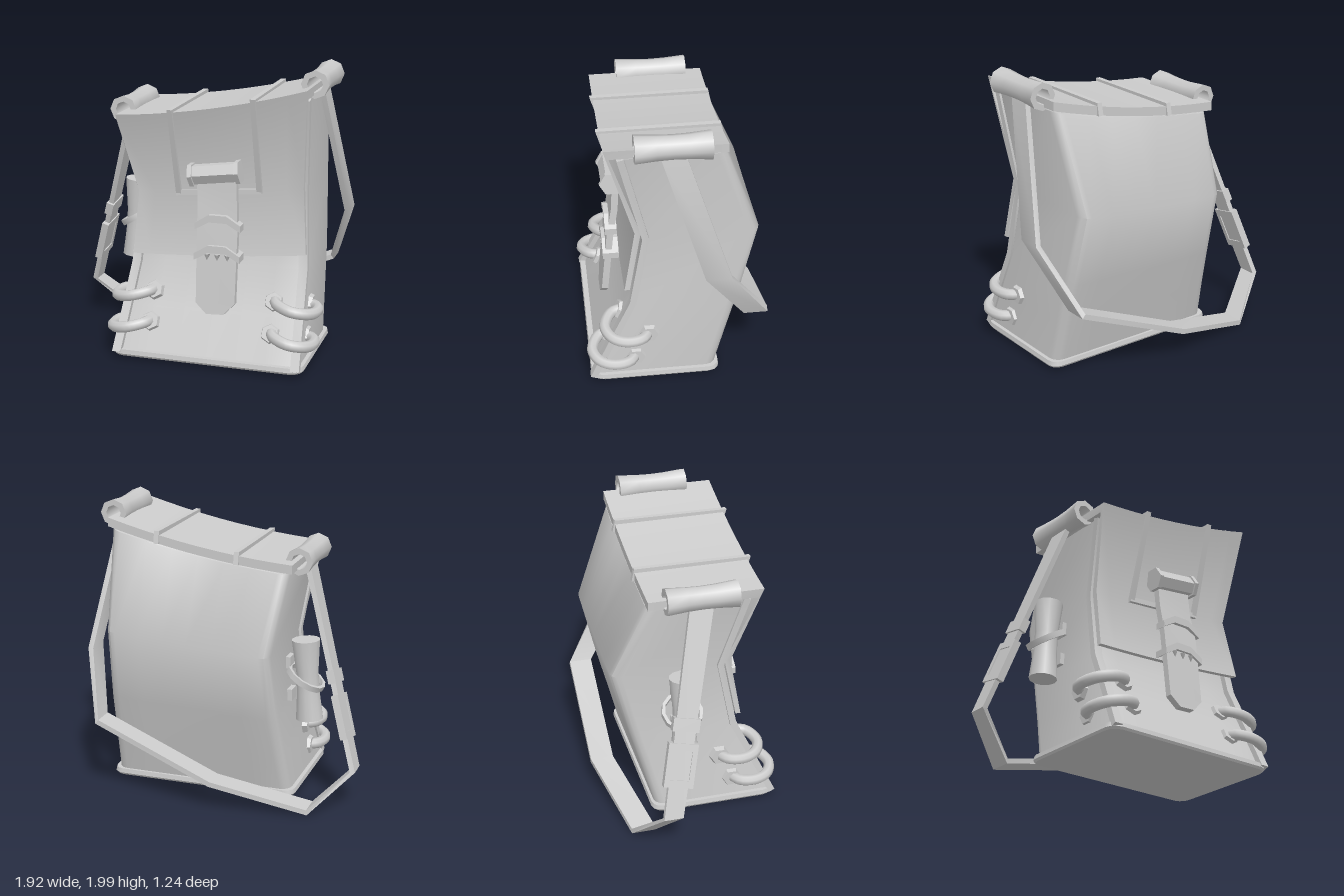
import * as THREE from 'three';
import { toCreasedNormals } from 'three/addons/utils/BufferGeometryUtils.js';

const V = (x, y, z) => new THREE.Vector3(x, y, z);
const grey = new THREE.MeshStandardMaterial({ color: 0xcccccc, side: THREE.DoubleSide });

// Height of the sagging, sloping lid at a given x
const topY = (x) => {
  const t = (x + 0.5) / 1.3;
  return 1.67 + 0.23 * t - 0.15 * t * (1 - t);
};
const slopeY = (y, k, x) => y + k * (topY(x) - 1.75);

// Skin a list of equal-length rings, cap both ends, face outwards
function loft(rings, crease = 0.7) {
  const n = rings[0].length, last = (rings.length - 1) * n, idx = [];
  const pts = rings.flat();
  const quad = (a, b, c, d) => idx.push(a, b, c, a, c, d);
  for (let r = 0; r < rings.length - 1; r++)
    for (let i = 0; i < n; i++) {
      const j = (i + 1) % n;
      quad(r * n + i, r * n + j, (r + 1) * n + j, (r + 1) * n + i);
    }
  for (let i = 0; i < n / 2 - 1; i++) {
    const [a, b, c, d] = [i, i + 1, n - 2 - i, n - 1 - i];
    quad(d, c, b, a);
    quad(last + a, last + b, last + c, last + d);
  }
  let volume = 0;
  for (let i = 0; i < idx.length; i += 3)
    volume += pts[idx[i]].dot(pts[idx[i + 1]].clone().cross(pts[idx[i + 2]]));
  if (volume < 0) idx.reverse();
  const g = new THREE.BufferGeometry().setFromPoints(pts);
  g.setIndex(idx);
  return toCreasedNormals(g, crease);
}

// Flat band along a path; width runs along dir, w may vary per point
function ribbon(pts, dir, w, t) {
  return loft(pts.map((p, i) => {
    const tan = pts[Math.min(i + 1, pts.length - 1)].clone().sub(pts[Math.max(i - 1, 0)]);
    const nrm = tan.cross(dir).normalize().multiplyScalar(t / 2);
    const side = dir.clone().multiplyScalar((w[i] ?? w) / 2);
    return [[1, 1], [1, -1], [-1, -1], [-1, 1]].map(([a, b]) =>
      p.clone().addScaledVector(side, a).addScaledVector(nrm, b));
  }), 0.5);
}

// Body rows: y, slope, front z, back z, left x, right x
const bodyRows = [
  [0.05, 0, 0.57, -0.25, -0.49, 0.785],
  [0.35, 0.1, 0.43, -0.33, -0.46, 0.775],
  [0.64, 0.2, 0.29, -0.41, -0.435, 0.765],
  [1.12, 0.4, 0.2, -0.53, -0.41, 0.735],
  [1.68, 1, 0.355, -0.3, -0.47, 0.775],
];
// Rounded outline of one row; cf and cb are the front and back corner radii
function bodyRing([y, k, zf, zb, xl, xr], grow = 0, cf = 0.012, cb = 0.07) {
  xl -= grow; xr += grow; zf += grow; zb -= grow;
  const ring = [];
  const add = (x, z) => ring.push(V(x, slopeY(y, k, x), z));
  const corner = (x, z, c, start) => {
    for (let i = 0; i <= 3; i++) {
      const a = start - i * Math.PI / 6;
      add(x + c * Math.cos(a), z + c * Math.sin(a));
    }
  };
  const edge = (a, b, z) => {
    for (let i = 1; i < 6; i++) add(a + (b - a) * i / 6, z);
  };
  corner(xr - cf, zf - cf, cf, Math.PI / 2);
  corner(xr - cb, zb + cb, cb, 0);
  edge(xr - cb, xl + cb, zb);
  corner(xl + cb, zb + cb, cb, -Math.PI / 2);
  corner(xl + cf, zf - cf, cf, -Math.PI);
  edge(xl + cf, xr - cf, zf);
  return ring;
}

// Lid and flap rows: z, y, slope, left x, right x, inner offset z and y
const lidRows = [
  [-0.3, 1.75, 1, -0.5, 0.79, 0, -0.06],
  [0.475, 1.75, 1, -0.5, 0.79, -0.035, -0.06],
  [0.285, 1.15, 0.5, -0.41, 0.735, -0.04, 0],
  [0.36, 0.725, 0.42, -0.43, 0.775, -0.035, 0],
];
const lidPoint = (r, x, out = 0) =>
  V(x, slopeY(lidRows[r][1], lidRows[r][2], x) + (r < 2 ? out : 0), lidRows[r][0] + (r > 0 ? out : 0));
function lidRing([z, y, k, xl, xr, dz, dy]) {
  const outer = Array.from({ length: 11 }, (_, i) => {
    const x = xl + (xr - xl) * i / 10;
    return V(x, slopeY(y, k, x), z);
  });
  return [...outer, ...outer.map((p) => p.clone().add(V(0, dy, dz))).reverse()];
}

export function createModel() {
  const model = new THREE.Group();
  const add = (name, geo, parent = model) => {
    const m = new THREE.Mesh(geo, grey);
    m.name = name;
    parent.add(m);
    return m;
  };
  const lathe = (pts, seg) =>
    toCreasedNormals(new THREE.LatheGeometry(pts.map(([r, y]) => new THREE.Vector2(r, y)), seg), 0.85);

  // Bag body, base and front edge piping
  add('body', loft(bodyRows.map((r) => bodyRing(r))));
  const base = bodyRows[0].slice(1);
  add('base', loft([[0.03, 0.02], [0.045, 0.03], [0.075, 0.025]].map(([y, g]) => bodyRing([y, ...base], g, 0.08)), 0.55));
  for (const [col, s] of [[4, 1], [5, -1]])
    add('edgePiping', ribbon(bodyRows.map((r) =>
      V(r[col] + s * 0.015, slopeY(r[0], r[1], r[col]), r[2] + 0.015)), V(1, 0, 0), 0.06, 0.045));

  // Lid folding down into the front flap
  add('lidFlap', loft(lidRows.map(lidRing)));
  const strapX = [-0.12, 0.44];
  for (const x of strapX) {
    const back = lidPoint(0, x, 0.01);
    add('lidStrap', ribbon([back.clone().add(V(0, -0.07, -0.005)), back, lidPoint(1, x, 0.01), lidPoint(2, x, 0.012)],
      V(1, 0, 0), 0.035, 0.03));
  }
  add('crossStrap', ribbon(strapX.map((x, i) => lidPoint(2, x + (i ? 0.017 : -0.017), 0.012)), V(0, 1, 0), 0.035, 0.03));

  // Hollow rolls on both lid ends
  for (const x of [-0.515, 0.797]) {
    const roll = add('lidRoll', lathe([[0.053, -0.24], [0.093, -0.24], [0.082, -0.1], [0.079, 0],
      [0.082, 0.1], [0.093, 0.24], [0.053, 0.24], [0.053, -0.24]], 8));
    roll.rotation.x = Math.PI / 2;
    roll.position.set(x, x < 0 ? 1.67 : 1.907, 0.048);
  }

  // Shoulder strap looping behind the bag
  const path = [V(0.81, 1.84, 0.045), V(0.94, 0.97, -0.235), V(0.785, 0.54, -0.515), V(-0.03, 0.2, -0.535),
    V(-0.67, 0.025, -0.39), V(-0.94, 0.29, -0.25), V(-0.535, 1.6, 0.04)];
  add('shoulderStrap', ribbon(path, V(0, 0, 1), [0.16, 0.17, 0.16, 0.16, 0.16, 0.13, 0.16], 0.036));

  // Strap buckle and keeper, aligned with the left strap run
  const up = path[6].clone().sub(path[5]).normalize();
  const out = up.clone().cross(V(0, 0, 1)).normalize();
  const buckle = new THREE.Group();
  buckle.name = 'strapBuckle';
  buckle.quaternion.setFromRotationMatrix(new THREE.Matrix4().makeBasis(up.clone().cross(out), up, out));
  buckle.position.lerpVectors(path[5], path[6], 0.26);
  model.add(buckle);
  const rect = (C, w, h) => new C([[-w, -h], [w, -h], [w, h], [-w, h]].map(([a, b]) => new THREE.Vector2(a, b)));
  const frame = rect(THREE.Shape, 0.1, 0.15);
  frame.holes.push(rect(THREE.Path, 0.065, 0.1));
  add('buckleFrame', new THREE.ExtrudeGeometry(frame, { depth: 0.05, bevelEnabled: false }).translate(0, 0, -0.025), buckle);
  add('strapKeeper', new THREE.BoxGeometry(0.18, 0.09, 0.055).translate(0, 0.275, 0), buckle);

  // Flask held on the right side by a tilted band and two mounts
  const flask = add('flask', lathe([[0, -0.28], [0.095, -0.28], [0.08, -0.1], [0.077, 0.05], [0.098, 0.28], [0, 0.28]], 12));
  flask.position.set(-0.555, 0.83, -0.075);
  flask.rotation.z = -0.06;
  const band = add('flaskBand', lathe([[0.105, -0.02], [0.125, -0.02], [0.125, 0.02], [0.105, 0.02], [0.105, -0.02]], 12));
  band.position.set(-0.545, 0.845, -0.085);
  band.rotation.z = 0.53;
  band.scale.set(1.15, 1, 1.12);
  for (const [x, y] of [[-0.425, 0.95], [-0.44, 0.72]])
    add('flaskMount', new THREE.BoxGeometry(0.045, 0.08, 0.1).translate(x, y, -0.085));

  // Curved rings through hexagonal eyelets round both front corners
  const ringPath = [[-0.27, 0.46, 0.35], [-0.3, 0.455, 0.44], [-0.41, 0.43, 0.493], [-0.51, 0.41, 0.45],
    [-0.55, 0.4, 0.36], [-0.53, 0.4, 0.25], [-0.43, 0.4, 0.19]];
  for (const s of [1, -1]) for (const low of [0, 1]) {
    const at = ([x, y, z]) => V(0.152 + s * (x - 0.15), y - 0.195 * low, z + 0.09 * low);
    add('cornerRing', new THREE.TubeGeometry(new THREE.CatmullRomCurve3(ringPath.map(at)), 24, 0.038, 8));
    const eyelet = (name, p) => {
      const m = add(name, toCreasedNormals(new THREE.CylinderGeometry(0.06, 0.073, 0.035, 6), 0.3));
      m.position.copy(at(p));
      return m;
    };
    eyelet('frontEyelet', [-0.27, 0.455, 0.39]).rotation.x = Math.PI / 2 - 0.44;
    eyelet('sideEyelet', [-0.48, 0.4, 0.2]).rotation.z = s * Math.PI / 2;
  }

  // Front closure: bar with end plates, tongue and chevron keepers
  const clasp = new THREE.Group();
  clasp.name = 'claspBar';
  clasp.position.set(0.165, 1.305, 0.395);
  clasp.rotation.z = 0.13;
  model.add(clasp);
  const prism = (r, h, x) => toCreasedNormals(new THREE.CylinderGeometry(r, r, h, 6), 0.3)
    .rotateZ(Math.PI / 2).translate(x, 0, 0);
  add('bar', prism(0.07, 0.3, 0), clasp);
  for (const x of [-0.16, 0.16]) add('barEnd', prism(0.083, 0.03, x), clasp);
  add('tongue', ribbon([V(0.17, 1.3, 0.37), V(0.18, 1.1, 0.38), V(0.19, 0.9, 0.415), V(0.19, 0.43, 0.46), V(0.19, 0.355, 0.47)],
    V(1, 0.05, 0), [0.27, 0.27, 0.28, 0.27, 0.12], 0.045));
  const chevron = new THREE.Shape([[-0.157, -0.055], [-0.06, 0], [0.06, 0], [0.157, -0.055], [0.157, -0.01],
    [0.06, 0.05], [-0.06, 0.05], [-0.157, -0.01]].map(([x, y]) => new THREE.Vector2(x, y)));
  for (const [y, z, depth] of [[0.98, 0.37, 0.08], [0.775, 0.36, 0.11]])
    add('tongueKeeper', new THREE.ExtrudeGeometry(chevron, { depth, bevelEnabled: false }).translate(0.195, y, z));
  for (const x of [-0.07, 0, 0.07])
    add('keeperPoint', new THREE.ConeGeometry(0.022, 0.05, 4).rotateX(Math.PI).translate(0.195 + x, 0.74, 0.452));

  return model;
}
